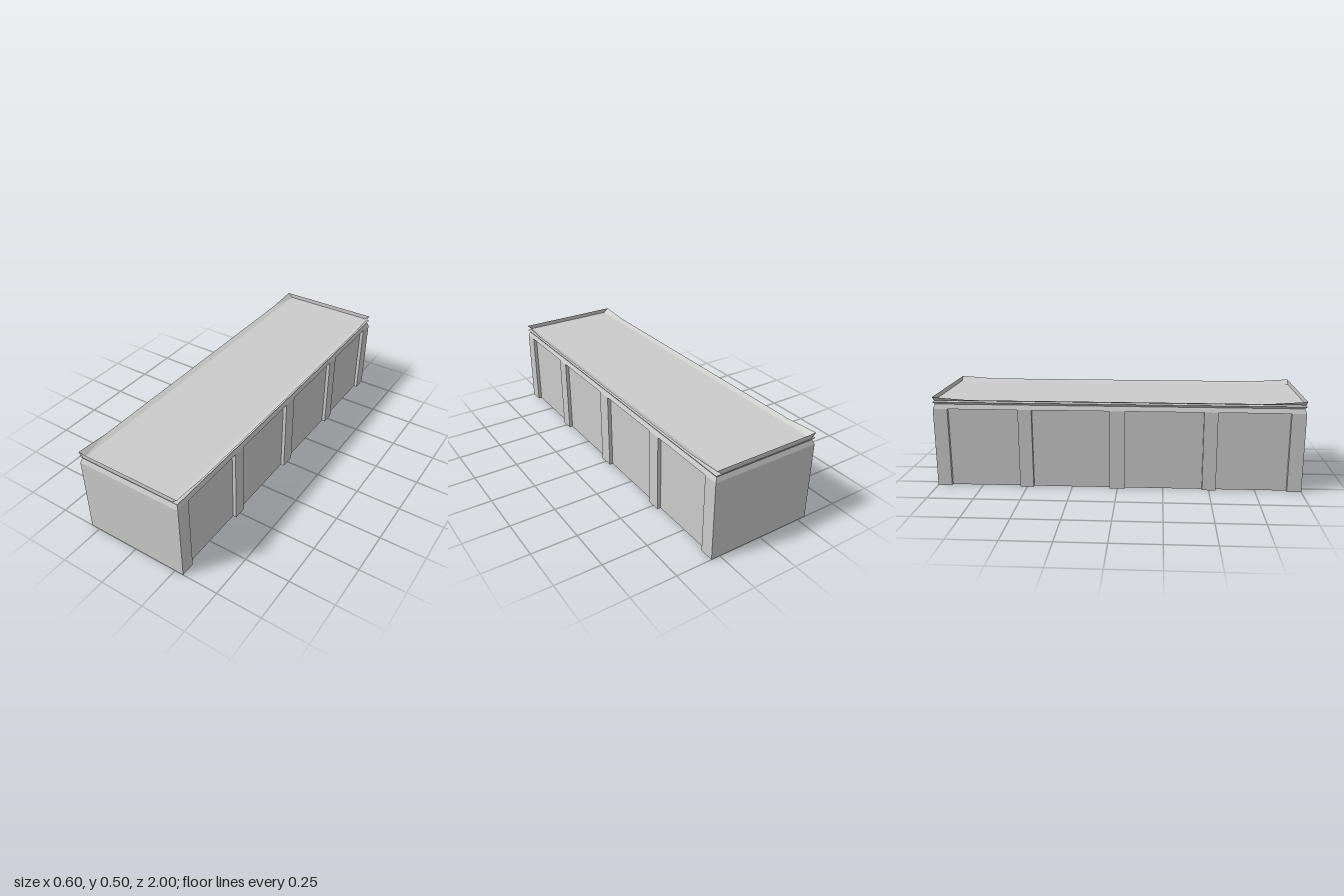
import * as THREE from 'three';

const grey = new THREE.MeshStandardMaterial({ color: 0xcccccc, side: THREE.DoubleSide });
grey.name = 'plain grey';

// Sheet from flat polygons, each a list of corners, counter-clockwise from outside
function sheet(name, faces) {
  const pos = [];
  for (const f of faces)
    for (let i = 1; i < f.length - 1; i++) pos.push(...f[0], ...f[i], ...f[i + 1]);
  const g = new THREE.BufferGeometry();
  g.setAttribute('position', new THREE.Float32BufferAttribute(pos, 3));
  g.computeVertexNormals();
  const m = new THREE.Mesh(g, grey);
  m.name = name;
  return m;
}

// Same faces turned half round to the other side
const turned = faces => faces.map(f => f.map(([x, y, z]) => [-x, y, -z]));
const both = faces => [...faces, ...turned(faces)];

const W = 0.3, L = 1, INSET = 0.28, WALL = 0.437;

// Rectangle corners at a height
const rect = ([y, w, l]) => [[-w, y, l], [w, y, l], [w, y, -l], [-w, y, -l]];

export function createModel() {
  const group = new THREE.Group();
  group.name = 'wagonCover';

  // Flat end walls
  group.add(sheet('endWalls', both([[[-W, 0, L], [W, 0, L], [W, WALL, L], [-W, WALL, L]]])));

  // Side walls: thin sheet folded into hollow pillars and recessed panels
  const pillars = [], panels = [], reveals = [];
  const upright = (x, z0, z1) => [[x, 0, z1], [x, 0, z0], [x, WALL, z0], [x, WALL, z1]];
  const edges = [-1, -0.922, -0.538, -0.463, -0.042, 0.042, 0.463, 0.538, 0.922, 1];
  for (let i = 0; i < edges.length - 1; i++) {
    const a = edges[i], b = edges[i + 1];
    if (i % 2 === 0) {
      pillars.push(upright(W, a, b));
      continue;
    }
    panels.push(upright(INSET, a, b));
    reveals.push(
      [[W, 0, a], [INSET, 0, a], [INSET, WALL, a], [W, WALL, a]],
      [[INSET, 0, b], [W, 0, b], [W, WALL, b], [INSET, WALL, b]],
      [[INSET, WALL, a], [W, WALL, a], [W, WALL, b], [INSET, WALL, b]]
    );
  }
  group.add(sheet('pillars', both(pillars)));
  group.add(sheet('panels', both(panels)));
  group.add(sheet('panelReveals', both(reveals)));

  // Grooved band round the top of the walls
  const rings = [[WALL, W, L], [0.462, 0.29, 0.99], [0.475, W, L]].map(rect);
  const band = [];
  for (let r = 0; r < 2; r++)
    for (let i = 0; i < 4; i++) {
      const j = (i + 1) % 4;
      band.push([rings[r][i], rings[r][j], rings[r + 1][j], rings[r + 1][i]]);
    }
  group.add(sheet('grooveBand', band));
  group.add(sheet('ceiling', [rings[2]]));

  // Shallow roof tray with flared sides, raised corners and upright ends
  const F = 0.27, floorY = 0.477, rimY = 0.488, tipY = 0.502, K = 0.8;
  group.add(sheet('trayFloor', [rect([floorY, F, L])]));
  group.add(sheet('trayFlares', both([
    [[F, floorY, L], [W, rimY, K], [W, rimY, -K], [F, floorY, -L]],
    [[F, floorY, L], [W, tipY, L], [W, rimY, K]],
    [[F, floorY, -L], [W, rimY, -K], [W, tipY, -L]]
  ])));
  group.add(sheet('trayEnds', both([
    [[-F, floorY, L], [F, floorY, L], [W, tipY, L], [-W, tipY, L]]
  ])));

  return group;
}
